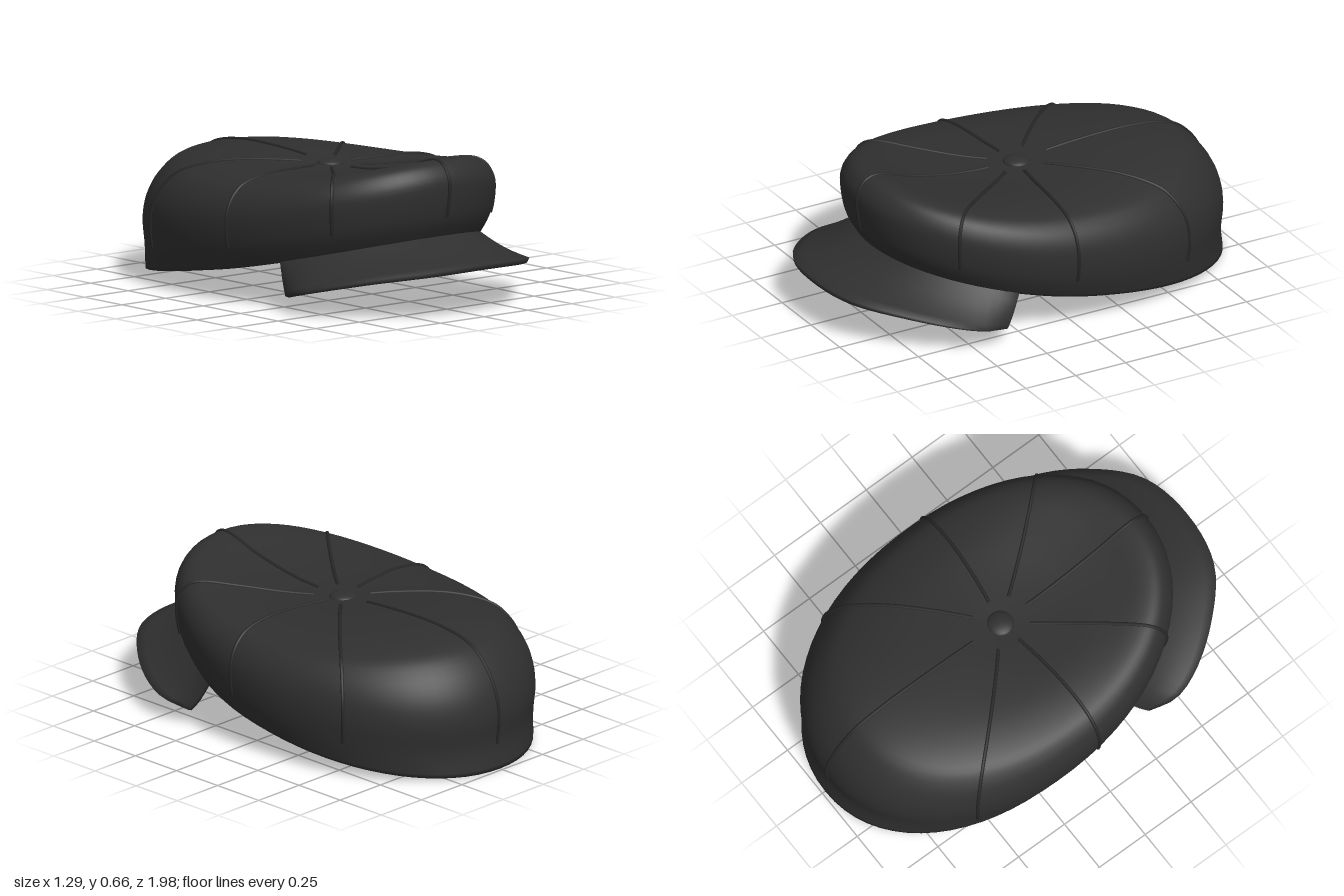
import * as THREE from 'three';

const cloth = new THREE.MeshStandardMaterial({ color: 0x2f2f2f, side: THREE.DoubleSide });
cloth.name = 'charcoalCloth';
const piping = new THREE.MeshStandardMaterial({ color: 0x262626 });
piping.name = 'darkPiping';

// Crown profiles from button to rim: [fraction of the outline radius, height]
const FRONT = [[0, .545], [.3, .553], [.6, .595], [.8, .643], [.9, .652], [.965, .62], [1, .55], [.97, .41], [.9, .315]];
const SIDE = [[0, .545], [.3, .552], [.6, .55], [.82, .52], [.92, .475], [.98, .41], [1, .33], [.985, .23], [.935, .135]];
const BACK = [[0, .545], [.3, .57], [.6, .575], [.8, .545], [.9, .475], [.965, .37], [.99, .25], [.98, .12], [.995, .006]];

// Profile at angle a (0 = front, towards +x), blended smoothly front - side - back
function profileAt(a) {
  const c = Math.cos(a);
  const mix = (f, s, b) => s + (f - b) / 2 * c + ((f + b) / 2 - s) * c * c;
  return new THREE.SplineCurve(SIDE.map((s, i) => new THREE.Vector2(
    mix(FRONT[i][0], s[0], BACK[i][0]), mix(FRONT[i][1], s[1], BACK[i][1]))));
}

const soften = v => Math.sign(v) * Math.abs(v) ** 0.95;

// Point on the oval crown; inset > 0 gives the lining
function crownPoint(a, t, inset = 0) {
  const p = profileAt(a).getPoint(t);
  const f = p.x * (1 - inset);
  return new THREE.Vector3(
    0.645 * f * soften(Math.sin(a)),
    p.y - inset * 0.6 * (1 - t),
    -0.03 - 0.08 * Math.min(1, f * f) + 0.88 * f * soften(Math.cos(a)));
}

// Surface from rows x cols of points
function gridGeometry(rows, cols, wrap, point) {
  const pos = [], index = [];
  for (let i = 0; i < rows; i++)
    for (let j = 0; j < cols; j++) pos.push(...point(i, j).toArray());
  for (let i = 0; i < rows - 1; i++)
    for (let j = 0; j < (wrap ? cols : cols - 1); j++) {
      const k = (j + 1) % cols;
      const a = i * cols + j, b = a + cols, c = (i + 1) * cols + k, d = i * cols + k;
      index.push(a, b, c, a, c, d);
    }
  const g = new THREE.BufferGeometry();
  g.setAttribute('position', new THREE.Float32BufferAttribute(pos, 3));
  g.setIndex(index);
  g.computeVertexNormals();
  return g;
}

function add(group, name, geometry, material) {
  const mesh = new THREE.Mesh(geometry, material);
  mesh.name = name;
  group.add(mesh);
  return mesh;
}

// Arched peak: rim curve on the inside, drooping curve on the outside
function brimGeometry() {
  const half = [[.565, .07, .345], [.6, .1, .46], [.572, .13, .58], [.45, .175, .77], [.25, .21, .945]];
  const outer = new THREE.CatmullRomCurve3([
    ...half.map(([x, y, z]) => new THREE.Vector3(-x, y, z)),
    new THREE.Vector3(0, .222, .992),
    ...half.slice().reverse().map(p => new THREE.Vector3(...p))]);
  const across = 6, along = 40, loop = 2 * (across + 1);
  return gridGeometry(loop + 1, along + 3, false, (i, j) => {
    const u = THREE.MathUtils.clamp((j - 1) / along, 0, 1), t = u * 2 - 1;
    const k = i % loop, top = k <= across;
    const s = (top ? k : loop - 1 - k) / across;
    const p = crownPoint(t * 1.12, 1, 0.012).lerp(outer.getPointAt(u), s);
    p.y -= 0.012 * Math.sin(Math.PI * s);
    // the first and last columns close the ends
    const h = j === 0 || j === along + 2 ? 0 : (top ? 0.011 : -0.011);
    const lean = t * 1.2;
    return p.add(new THREE.Vector3(Math.sin(lean) * h, Math.cos(lean) * h, 0));
  });
}

export function createModel() {
  const cap = new THREE.Group();
  cap.name = 'cap';

  // Crown: outer cloth folded at the rim into the lining
  const steps = 36, around = 72;
  add(cap, 'crown', gridGeometry(2 * steps + 2, around, true, (i, j) => {
    const a = j / around * Math.PI * 2;
    return i <= steps ? crownPoint(a, i / steps) : crownPoint(a, (2 * steps + 1 - i) / steps, 0.025);
  }), cloth);

  add(cap, 'brim', brimGeometry(), cloth);

  // Piped seams between the eight panels
  const seams = new THREE.Group();
  seams.name = 'seams';
  cap.add(seams);
  for (const deg of [0, 45, 82, 121, 180, -121, -82, -45]) {
    const a = THREE.MathUtils.degToRad(deg), pts = [];
    for (let i = 0; i <= 24; i++) pts.push(crownPoint(a, 0.075 + 0.8 * i / 24));
    add(seams, 'seam', new THREE.TubeGeometry(new THREE.CatmullRomCurve3(pts), 48, 0.008, 8), piping);
  }

  // Covered button
  const button = add(cap, 'button', new THREE.SphereGeometry(0.06, 24, 12), cloth);
  button.scale.y = 0.36;
  button.position.set(0, 0.546, -0.03);

  return cap;
}
